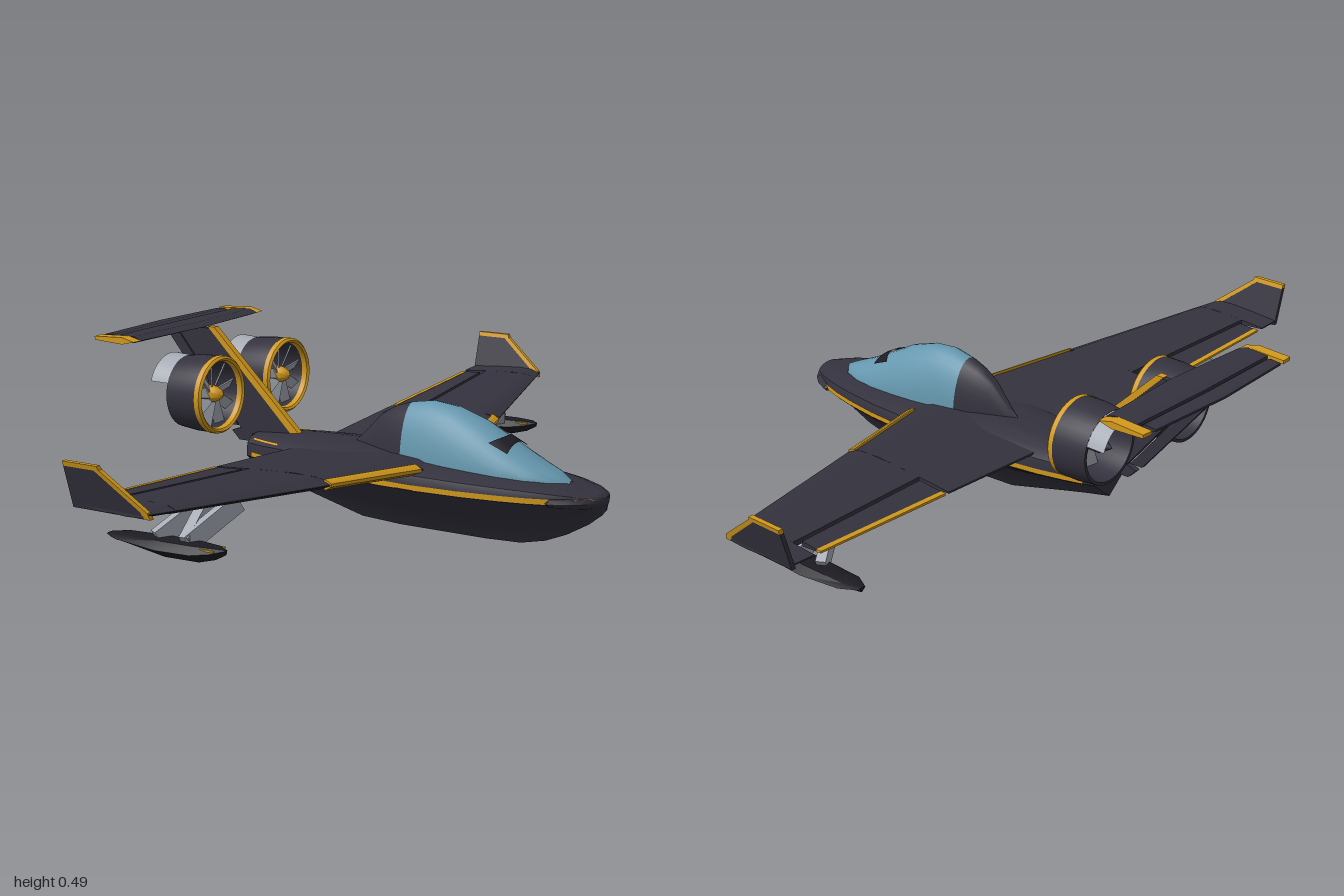
import * as THREE from 'three';
import { toCreasedNormals } from 'three/addons/utils/BufferGeometryUtils.js';

const paint = (name, color) => {
  const m = new THREE.MeshStandardMaterial({ color, side: THREE.DoubleSide });
  m.name = name;
  return m;
};

export function createModel() {
  const dark = paint('charcoal', 0x34323e);
  const black = paint('black', 0x1d1c23);
  const gold = paint('gold', 0xd39a1c);
  const glass = paint('blue glass', 0x6597ae);
  const grey = paint('light grey', 0xa6abb5);
  const root = new THREE.Group();
  root.name = 'seaplane';

  function add(name, geo, mat, parent = root) {
    const m = new THREE.Mesh(geo, mat);
    m.name = name;
    parent.add(m);
    return m;
  }

  // Skin through a list of cross-sections; closed rings also get end caps
  function loft(sections, closed = false, crease = 0.6) {
    const n = sections[0].length, pos = sections.flat(2), idx = [];
    for (let i = 0; i < sections.length - 1; i++)
      for (let j = 0; j < (closed ? n : n - 1); j++) {
        const a = i * n + j, b = i * n + (j + 1) % n;
        idx.push(a, b, a + n, b, b + n, a + n);
      }
    if (closed) {
      const e = (sections.length - 1) * n;
      for (let j = 1; j < n - 1; j++) idx.push(0, j + 1, j, e, e + j, e + j + 1);
    }
    const g = new THREE.BufferGeometry();
    g.setAttribute('position', new THREE.Float32BufferAttribute(pos, 3));
    g.setIndex(idx);
    return toCreasedNormals(g, crease);
  }

  // Side-view outline extruded across z
  function plate(points, depth, z = 0) {
    const g = new THREE.ExtrudeGeometry(new THREE.Shape(points.map(p => new THREE.Vector2(...p))),
      { depth, bevelEnabled: false });
    return g.translate(0, 0, z - depth / 2);
  }

  // Hull stations: x, half width, keel y, deck y
  const hull = [
    [-0.355, 0.065, 0.09, 0.2], [-0.28, 0.092, 0.073, 0.206], [-0.2, 0.112, 0.053, 0.213],
    [-0.02, 0.143, 0.006, 0.215], [0.1, 0.155, 0, 0.21], [0.23, 0.16, 0, 0.205], [0.36, 0.152, 0, 0.2],
    [0.46, 0.138, 0.004, 0.195], [0.53, 0.123, 0.02, 0.19], [0.59, 0.104, 0.045, 0.183],
    [0.65, 0.075, 0.08, 0.172], [0.685, 0.04, 0.108, 0.163], [0.7, 0.01, 0.125, 0.157]];
  const C = 0.145, S = 0.16;
  const mirrorRow = half => [...half, ...half.slice(0, -1).reverse().map(([x, y, z]) => [x, y, -z])];
  add('hull', loft(hull.map(([x, w, k]) => mirrorRow(
    [[1, 1], [0.93, 0.93], [0.72, 0.78], [0.48, 0.6], [0.24, 0.36], [0.1, 0.16], [0, 0]]
      .map(([u, v]) => [x, k + (C - k) * v, w * u])))), dark);
  add('deck', loft(hull.map(([x, w, k, d]) => mirrorRow([[x, C, w], [x, Math.min(S, d), w],
    [x, S + (d - S) * 0.5, w * 0.95], [x, S + (d - S) * 0.85, w * 0.7], [x, d, w * 0.3], [x, d, 0]]))), dark);
  const [tx, tw, tk, td] = hull[0];
  add('transom', loft([[[tx, td, tw * 0.6], [tx, S, tw], [tx, C, tw], [tx, tk, 0]],
    [[tx, td, -tw * 0.6], [tx, S, -tw], [tx, C, -tw], [tx, tk, 0]]]), dark);
  for (const s of [1, -1]) {
    const line = hull.slice(1, -1);
    add('hullStripe', loft([[-0.33, 0.077], ...line].map(([x, w]) =>
      [[x, 0.147, s * (w + 0.003)], [x, 0.161, s * (w + 0.003)]])), gold);
    add('rearStripe', loft([[-0.33, 0.062], [-0.28, 0.079], [-0.23, 0.09]].map(([x, w]) =>
      [[x, 0.193, s * (w + 0.009)], [x, 0.199, s * (w + 0.004)]])), gold);
  }
  // Rounded bumper round the bow
  const ring = (x, w, y, h, n = 16) => Array.from({ length: n }, (_, i) => {
    const a = i / n * 2 * Math.PI;
    return [x, y + h * Math.sin(a), w * Math.cos(a)];
  });
  add('noseBumper', loft([[0.565, 0.1, 0.02], [0.59, 0.117, 0.024], [0.63, 0.1, 0.024], [0.665, 0.073, 0.023],
    [0.688, 0.042, 0.02], [0.7, 0.012, 0.012]].map(([x, w, h]) => ring(x, w, 0.15, h)), true), dark);

  // Canopy: x, half width, top y
  const canopy = [[-0.04, 0.004, 0.215], [-0.012, 0.018, 0.24], [0.045, 0.038, 0.3], [0.09, 0.054, 0.325],
    [0.135, 0.068, 0.339], [0.2, 0.08, 0.35], [0.27, 0.087, 0.342], [0.35, 0.09, 0.315],
    [0.43, 0.087, 0.272], [0.5, 0.075, 0.234], [0.56, 0.05, 0.207], [0.6, 0.008, 0.188]];
  const arch = (x, w, t, a) => [x, 0.18 + (t - 0.18) * Math.sin(a), w * Math.cos(a)];
  const bow = ([x, w, t]) => Array.from({ length: 17 }, (_, i) => arch(x, w, t, i / 16 * Math.PI));
  add('canopyFairing', loft(canopy.slice(0, 5).map(bow), false, 1), dark);
  add('canopyGlass', loft(canopy.slice(4).map(bow), false, 1), glass);
  // Dark bow-shaped patch over the windshield
  const onGlass = (x, a) => {
    const t = (x - 0.35) / 0.08;
    return arch(x, 0.094 - 0.003 * t, 0.32 - 0.043 * t, a);
  };
  add('windshieldPatch', loft(Array.from({ length: 9 }, (_, i) => {
    const u = i / 4 - 1, a = Math.PI / 2 + u * 0.68;
    return [0, 0.5, 1].map(v => onGlass(THREE.MathUtils.lerp(0.418 - 0.026 * u * u, 0.446, v), a));
  })), black);

  // Wing: straight-line rules along the span
  const lerp = (a, b, z) => a + (b - a) * (z - 0.1) / 0.87;
  const lead = z => lerp(0.245, 0.018, z), trail = z => lerp(-0.18, -0.205, z);
  const midY = z => lerp(0.192, 0.24, z), thick = z => lerp(0.04, 0.024, z);
  const foil = [[0, 0.08], [0.03, 0.55], [0.1, 0.85], [0.3, 1], [0.65, 0.65], [1, 0.14]];
  const depthAt = f => {
    const i = Math.max(1, foil.findIndex(p => p[0] >= f));
    const [a, b] = [foil[i - 1], foil[i]];
    return a[1] + (b[1] - a[1]) * (f - a[0]) / (b[0] - a[0]);
  };
  // Ring of the wing section between two x positions
  function slice(z, x0, x1, s, grow = 0) {
    const le = lead(z), chord = le - trail(z);
    const fr = [0, 0.12, 0.3, 0.6, 1].map(v => (le - x0 + (x0 - x1) * v) / chord);
    const side = k => fr.map(f => [le - f * chord,
      midY(z) + k * (thick(z) / 2 * depthAt(Math.min(1, Math.max(0, f))) + grow), s * z]);
    return [...side(1), ...side(-1).reverse()];
  }
  const slot = z => -0.088 - (z - 0.43) * 0.09;

  for (const s of [1, -1]) {
    const wing = new THREE.Group();
    wing.name = s > 0 ? 'leftWing' : 'rightWing';
    root.add(wing);
    const panel = (name, zs, x0, x1, mat, grow) =>
      add(name, loft(zs.map(z => slice(z, x0(z), x1(z), s, grow)), true), mat, wing);
    panel('innerWing', [0.02, 0.43], lead, trail, dark);
    panel('midWing', [0.43, 0.895], lead, slot, dark);
    panel('outerWing', [0.895, 0.97], lead, trail, dark);
    panel('aileron', [0.442, 0.875], z => slot(z) - 0.012, z => trail(z) + 0.014, dark);
    panel('aileronTrim', [0.442, 0.875], z => trail(z) + 0.014, trail, gold, 0.001);
    panel('leadingEdgeTrim', [0.13, 0.435], z => lead(z) + 0.003, z => lead(z) - 0.018, gold, 0.003);

    // Canted winglet with gold leading and top edges
    const cant = (x, y, d) => [x, y, s * (0.962 + (y - 0.23) * 0.29 + d)];
    const sheet = (name, rows, mat, h) => add(name, loft(rows.map(([a, b, y]) =>
      [cant(a, y, h), cant(b, y, h), cant(b, y, -h), cant(a, y, -h)]), true), mat, wing);
    sheet('winglet', [[-0.205, 0.005, 0.228], [-0.205, -0.003, 0.245], [-0.205, -0.115, 0.335]], dark, 0.006);
    sheet('wingletEdge', [[0.003, 0.02, 0.228], [-0.005, 0.015, 0.245], [-0.118, -0.1, 0.335]], gold, 0.0065);
    sheet('wingletTop', [[-0.205, -0.1, 0.333], [-0.205, -0.105, 0.345]], gold, 0.0065);

    // Wing float
    const fz = s * 0.79;
    add('float', loft([[-0.245, 0.012, 0.12, 0.108], [-0.2, 0.036, 0.125, 0.1], [-0.08, 0.044, 0.128, 0.082],
      [0.02, 0.04, 0.129, 0.084], [0.07, 0.026, 0.129, 0.098], [0.1, 0.004, 0.126, 0.115]].map(([x, w, t, b]) =>
      [[x, t, fz - w * 0.6], [x, t, fz + w * 0.6], [x, (t + b) / 2 + 0.004, fz + w], [x, b, fz],
        [x, (t + b) / 2 + 0.004, fz - w]]), true), black, wing);
    for (const d of [1, -1])
      add('floatStripe', new THREE.BoxGeometry(0.06, 0.004, 0.004).translate(0.05, 0.124, fz + d * 0.022), gold, wing);
    // N-shaped float struts
    for (const [xa, xb] of [[-0.035, -0.105], [0.045, -0.02], [-0.035, -0.02]]) {
      const foot = new THREE.Vector3(xb, 0.122, s * 0.785), top = new THREE.Vector3(xa, 0.207, s * 0.665);
      const m = add('floatStrut', new THREE.BoxGeometry(0.026, 0.045, foot.distanceTo(top)), grey, wing);
      m.position.copy(foot).lerp(top, 0.5);
      m.lookAt(top);
    }

    // Ducted fan, axis along x
    const fan = new THREE.Group();
    fan.name = s > 0 ? 'leftFan' : 'rightFan';
    fan.position.set(-0.362, 0.33, s * 0.16);
    root.add(fan);
    const turn = g => toCreasedNormals(g.rotateZ(-Math.PI / 2), 0.6);
    const lathe = pts => turn(new THREE.LatheGeometry(pts.map(p => new THREE.Vector2(...p)), 36));
    add('duct', lathe([[0.092, -0.016], [0.088, -0.06], [0.09, -0.117], [0.098, -0.117], [0.104, -0.06], [0.104, -0.016]]), dark, fan);
    add('ductLip', lathe([[0.091, -0.02], [0.093, -0.005], [0.099, 0], [0.105, -0.006], [0.106, -0.02]]), gold, fan);
    add('exhaustHood', turn(new THREE.CylinderGeometry(0.097, 0.1, 0.056, 24, 1, true, 1.5 * Math.PI - 1.2, 2.4)
      .translate(0, -0.144, 0)), grey, fan);
    add('spinner', lathe([[0, 0], [0.012, -0.008], [0.021, -0.025], [0.024, -0.045], [0, -0.045]]), gold, fan);
    add('hub', lathe([[0.022, -0.045], [0.022, -0.09], [0, -0.125]]), dark, fan);
    for (let i = 0; i < 9; i++) {
      const blade = new THREE.Group();
      blade.rotation.x = i / 9 * Math.PI * 2;
      fan.add(blade);
      add('fanBlade', new THREE.BoxGeometry(0.004, 0.068, 0.03).rotateY(0.6).translate(-0.038, 0.055, 0), grey, blade);
    }
  }

  // Swept fin, rudder and gold leading edge
  add('fin', plate([[-0.235, 0.2], [-0.515, 0.475], [-0.68, 0.475], [-0.66, 0.462], [-0.62, 0.458], [-0.415, 0.205],
    [-0.445, 0.195], [-0.42, 0.17], [-0.35, 0.17]], 0.016), dark);
  add('rudder', plate([[-0.662, 0.452], [-0.622, 0.452], [-0.425, 0.21], [-0.462, 0.21]], 0.012), dark);
  add('finEdge', plate([[-0.215, 0.205], [-0.5, 0.48], [-0.522, 0.48], [-0.245, 0.205]], 0.02), gold);

  // Tailplane in strips: x range at the centre and at the tip
  const tail = (name, zs, xs, mat, h) => add(name, loft(zs.map(z => {
    const k = Math.abs(z) / 0.3, a = xs[0] + (xs[1] - xs[0]) * k, b = xs[2] + (xs[3] - xs[2]) * k;
    const c = b - (b - a) * 0.3;
    return [[a, 0.477 + h * 0.5, z], [c, 0.477 + h, z], [b, 0.477, z], [c, 0.477 - h, z], [a, 0.477 - h * 0.5, z]];
  }), true), mat);
  tail('tailplane', [-0.27, 0, 0.27], [-0.643, -0.638, -0.535, -0.552], dark, 0.009);
  tail('elevator', [-0.255, 0, 0.255], [-0.7, -0.685, -0.648, -0.643], dark, 0.006);
  for (const s of [1, -1])
    tail('tailTip', [s * 0.268, s * 0.3], [-0.7, -0.685, -0.535, -0.552], gold, 0.0095);

  return root;
}
